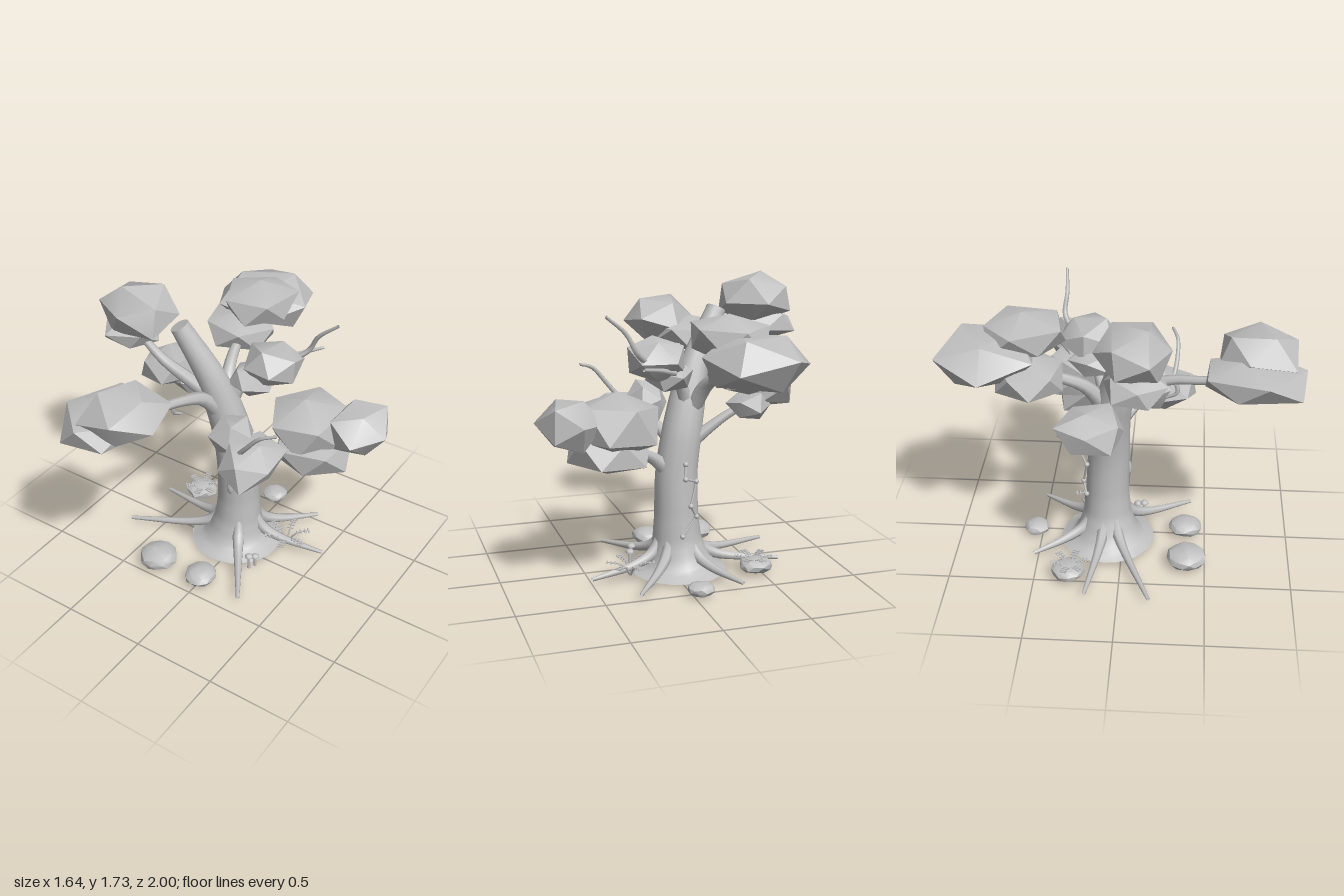
import * as THREE from 'three';
import { toCreasedNormals } from 'three/addons/utils/BufferGeometryUtils.js';

const clay = new THREE.MeshStandardMaterial({ color: 0xc0c0c0, side: THREE.DoubleSide });
clay.name = 'clayGrey';

const V = (p) => new THREE.Vector3(...p);

function random(seed) {
  let s = seed * 7919 + 17;
  return () => (s = (s * 16807) % 2147483647) / 2147483647;
}

export function createModel() {
  const model = new THREE.Group();
  model.name = 'tree';

  function add(name, geometry, parent = model) {
    const mesh = new THREE.Mesh(geometry, clay);
    mesh.name = name;
    parent.add(mesh);
    return mesh;
  }

  // Tapered tube through points, one radius per point
  function limb(name, points, radii, sides = 7, steps = 14, parent = model) {
    const curve = new THREE.CatmullRomCurve3(points.map(V));
    const geo = new THREE.TubeGeometry(curve, steps, 1, sides);
    const pos = geo.attributes.position;
    const v = new THREE.Vector3();
    for (let i = 0; i <= steps; i++) {
      const centre = curve.getPointAt(i / steps);
      const t = curve.getUtoTmapping(i / steps) * (radii.length - 1);
      const k = Math.min(Math.floor(t), radii.length - 2);
      const r = THREE.MathUtils.lerp(radii[k], radii[k + 1], t - k);
      for (let j = 0; j <= sides; j++) {
        const n = i * (sides + 1) + j;
        v.fromBufferAttribute(pos, n).sub(centre).multiplyScalar(r).add(centre);
        pos.setXYZ(n, v.x, v.y, v.z);
      }
    }
    // Smooth normals, joined across the seam
    geo.computeVertexNormals();
    const normal = geo.attributes.normal;
    const w = new THREE.Vector3();
    for (let a = 0; a < pos.count; a += sides + 1) {
      const b = a + sides;
      v.fromBufferAttribute(normal, a).add(w.fromBufferAttribute(normal, b)).normalize();
      normal.setXYZ(a, v.x, v.y, v.z);
      normal.setXYZ(b, v.x, v.y, v.z);
    }
    add(name, geo, parent);
    return curve;
  }

  // Faceted lump, jittered and then fitted to a box
  function lump(name, centre, size, seed, detail = 0, jitter = 0.25, crease = 0.6) {
    const rnd = random(seed);
    rnd(); rnd();
    const geo = new THREE.IcosahedronGeometry(1, detail);
    geo.rotateX(rnd() * 6).rotateY(rnd() * 6);
    const pos = geo.attributes.position;
    const moved = new Map();
    const v = new THREE.Vector3();
    for (let i = 0; i < pos.count; i++) {
      v.fromBufferAttribute(pos, i);
      const key = [v.x, v.y, v.z].map((c) => Math.round(c * 1000)).join();
      if (!moved.has(key)) moved.set(key, 1 - jitter / 2 + jitter * rnd());
      v.multiplyScalar(moved.get(key));
      pos.setXYZ(i, v.x, v.y, v.z);
    }
    geo.center();
    const box = geo.boundingBox.getSize(v);
    geo.scale(size[0] / box.x, size[1] / box.y, size[2] / box.z);
    add(name, toCreasedNormals(geo, crease)).position.set(...centre);
  }

  // Trunk with flared foot and a sawn top
  const trunk = limb('trunk', [
    [-0.05, 0.01, -0.095], [-0.05, 0.04, -0.095], [-0.047, 0.1, -0.095], [-0.04, 0.2, -0.095],
    [-0.036, 0.35, -0.095], [-0.04, 0.6, -0.085], [-0.072, 0.82, -0.075], [-0.112, 1, -0.05],
    [-0.168, 1.2, -0.01], [-0.33, 1.53, 0.065],
  ], [0.285, 0.22, 0.178, 0.145, 0.13, 0.124, 0.118, 0.108, 0.087, 0.057], 14, 60);
  const cap = (name, r, p, dir) => {
    const mesh = add(name, new THREE.CircleGeometry(r, 14));
    mesh.position.copy(p);
    mesh.lookAt(p.clone().add(dir));
  };
  cap('trunkTop', 0.057, trunk.getPoint(1), trunk.getTangent(1));
  cap('trunkBottom', 0.285, trunk.getPoint(0), new THREE.Vector3(0, -1, 0.0001));

  // Roots spreading from the foot
  const foot = [-0.035, -0.09];
  for (const [x, z] of [[-0.68, 0.18], [-0.65, -0.19], [-0.3, -0.52], [0.3, -0.51], [0.505, -0.21], [0.29, 0.41]]) {
    const dx = x - foot[0], dz = z - foot[1], l = Math.hypot(dx, dz);
    const at = (d, y) => [foot[0] + dx / l * d, y, foot[1] + dz / l * d];
    limb('root', [at(0.1, 0.24), at(0.16, 0.13), at(0.27, 0.08), at(l, 0.04)], [0.025, 0.036, 0.028, 0.011], 7);
  }

  // Branches
  limb('branch', [[-0.1, 0.76, -0.1], [-0.22, 0.86, -0.13], [-0.33, 0.94, -0.15], [-0.48, 1.02, -0.18]], [0.045, 0.032, 0.026, 0.02]);
  limb('branch', [[0.0, 0.6, -0.1], [0.12, 0.71, -0.13], [0.24, 0.77, -0.18], [0.4, 0.84, -0.22]], [0.05, 0.036, 0.03, 0.02]);
  limb('branch', [[-0.11, 1, 0], [-0.15, 1.12, 0.1], [-0.18, 1.19, 0.27], [-0.24, 1.23, 0.5], [-0.28, 1.3, 0.7]], [0.05, 0.042, 0.03, 0.024, 0.02]);
  limb('branch', [[-0.12, 0.95, -0.08], [-0.18, 1.13, -0.2], [-0.23, 1.22, -0.36], [-0.26, 1.32, -0.6]], [0.055, 0.04, 0.03, 0.02]);
  limb('branch', [[-0.11, 0.95, -0.08], [-0.05, 1.12, -0.13], [0.05, 1.22, -0.19]], [0.05, 0.035, 0.02]);
  limb('branch', [[-0.13, 1.05, -0.02], [-0.28, 1.2, 0.07], [-0.41, 1.32, 0.13], [-0.58, 1.43, 0.12]], [0.05, 0.04, 0.03, 0.02]);
  limb('branch', [[-0.02, 0.78, -0.04], [0.06, 0.87, 0.06], [0.18, 0.92, 0.18]], [0.045, 0.03, 0.02]);

  // Bare twigs
  limb('twig', [[0.18, 1.28, -0.3], [0.27, 1.36, -0.36], [0.33, 1.47, -0.35], [0.445, 1.57, -0.36]], [0.02, 0.016, 0.013, 0.009], 5);
  limb('twig', [[0.2, 0.98, 0.28], [0.28, 1.08, 0.3], [0.36, 1.17, 0.3], [0.445, 1.2, 0.27]], [0.016, 0.014, 0.012, 0.009], 5);
  limb('twig', [[0.04, 1.23, -0.3], [0.16, 1.27, -0.4], [0.28, 1.3, -0.51]], [0.018, 0.014, 0.009], 5);
  limb('twig', [[-0.2, 1.19, 0.3], [-0.21, 1.13, 0.31], [-0.2, 1.09, 0.25]], [0.014, 0.012, 0.008], 5);

  // Foliage clumps: centre, size
  [
    [[-0.59, 1.58, 0.08], [0.44, 0.29, 0.41]],
    [[-0.64, 1.425, 0.1], [0.34, 0.19, 0.34]],
    [[-0.18, 1.385, 0.745], [0.42, 0.27, 0.43]],
    [[-0.335, 1.285, 0.73], [0.43, 0.26, 0.54]],
    [[-0.56, 1.085, -0.15], [0.32, 0.23, 0.37]],
    [[-0.435, 1, -0.2], [0.24, 0.17, 0.28]],
    [[0.08, 0.99, 0.14], [0.25, 0.22, 0.26]],
    [[0.23, 0.91, 0.225], [0.35, 0.25, 0.39]],
    [[0.4, 0.805, -0.21], [0.47, 0.28, 0.44]],
    [[0.645, 0.985, -0.3], [0.37, 0.28, 0.4]],
    [[0.36, 0.95, -0.24], [0.48, 0.36, 0.48]],
    [[0.12, 1.3, -0.21], [0.32, 0.23, 0.33]],
    [[0.03, 1.19, -0.16], [0.26, 0.18, 0.32]],
    [[-0.27, 1.355, -0.73], [0.6, 0.27, 0.54]],
    [[-0.19, 1.45, -0.53], [0.42, 0.27, 0.44]],
    [[-0.29, 1.255, -0.5], [0.44, 0.25, 0.38]],
  ].forEach(([centre, size], i) => lump('foliage', centre, size, i + 3));

  // Stones round the foot
  [
    [[-0.305, 0.065, 0.39], [0.23, 0.12, 0.23]],
    [[0, 0.06, 0.38], [0.19, 0.1, 0.2]],
    [[-0.04, 0.045, -0.535], [0.15, 0.08, 0.15]],
    [[-0.46, 0.055, -0.3], [0.2, 0.09, 0.2]],
  ].forEach(([centre, size], i) => lump('stone', centre, size, i + 40, 1, 0.12, 0.5));

  // Bark knot on the front
  lump('barkKnot', [-0.015, 0.49, 0.03], [0.05, 0.105, 0.04], 60, 1, 0.1, 0.5);

  // Creeper with buds on the back
  const creeper = [[-0.05, 0.68, -0.225], [-0.04, 0.6, -0.255], [-0.12, 0.57, -0.21], [-0.08, 0.43, -0.235], [-0.12, 0.36, -0.215], [-0.03, 0.25, -0.235]];
  for (let i = 0; i < creeper.length; i++) {
    const bud = add('creeperBud', new THREE.IcosahedronGeometry(0.016, 1));
    bud.position.set(...creeper[i]);
    if (i) limb('creeperStem', [creeper[i - 1], creeper[i]], [0.007, 0.007], 5, 1);
  }

  // Ferns: arching stems with paired leaflets
  function fern(x, z, reach) {
    const group = new THREE.Group();
    group.name = 'fern';
    group.position.set(x, 0, z);
    model.add(group);
    for (let i = 0; i < 6; i++) {
      const a = i / 6 * Math.PI * 2 + 0.3, c = Math.cos(a), s = Math.sin(a);
      const stem = limb('fernStem', [[0, 0.03, 0], [c * reach * 0.4, 0.095, s * reach * 0.4], [c * reach, 0.108, s * reach]],
        [0.006, 0.005, 0.003], 4, 6, group);
      for (const t of [0.55, 0.7, 0.85, 0.97]) {
        const leaf = add('fernLeaflet', new THREE.BoxGeometry(0.008, 0.006, 0.04), group);
        leaf.position.copy(stem.getPoint(t));
        leaf.rotation.y = -a;
      }
    }
  }
  fern(-0.45, -0.29, 0.11);
  fern(0.27, -0.18, 0.14);

  // Small mushrooms beside the foot
  for (const [x, z, h] of [[0.18, 0.12, 0.09], [0.2, 0.08, 0.07]]) {
    add('mushroomStem', new THREE.CylinderGeometry(0.008, 0.01, h, 7)).position.set(x, h / 2, z);
    const dome = new THREE.SphereGeometry(0.026, 9, 4, 0, Math.PI * 2, 0, Math.PI / 2);
    add('mushroomCap', dome.scale(1, 0.8, 1)).position.set(x, h, z);
  }
  return model;
}
